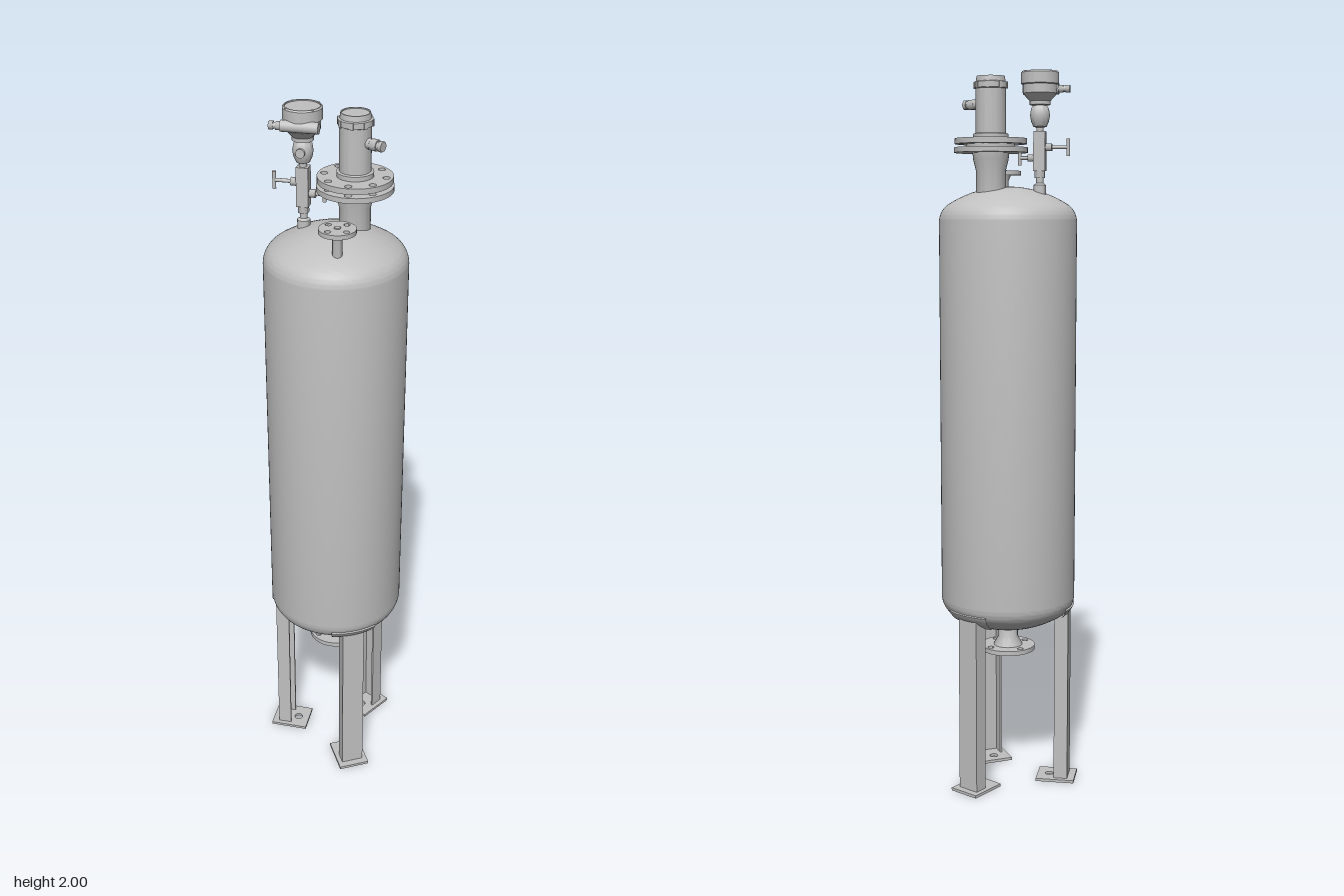
import * as THREE from 'three';
import { toCreasedNormals } from 'three/addons/utils/BufferGeometryUtils.js';

const steel = new THREE.MeshStandardMaterial({ color: 0xc0c0c0 });
steel.name = 'steel grey';
const steelSheet = steel;

function add(parent, name, geometry, x = 0, y = 0, z = 0) {
  const mesh = new THREE.Mesh(geometry, steel);
  mesh.name = name;
  mesh.position.set(x, y, z);
  parent.add(mesh);
  return mesh;
}

function group(parent, name, x = 0, y = 0, z = 0) {
  const g = new THREE.Group();
  g.name = name;
  g.position.set(x, y, z);
  parent.add(g);
  return g;
}

// Turned part from [radius, height] pairs, listed bottom to top
function turned(pairs, sides = 40) {
  const points = pairs.map(([r, y]) => new THREE.Vector2(r, y));
  return toCreasedNormals(new THREE.LatheGeometry(points, sides), 0.6);
}

function box(w, h, d) {
  return new THREE.BoxGeometry(w, h, d);
}

// Horizontal disc with a ring of bolt holes, bottom face at y = 0
function flange(radius, thickness, count, boltCircle, holeRadius, turn = 0) {
  const shape = new THREE.Shape().absarc(0, 0, radius, 0, Math.PI * 2);
  for (let i = 0; i < count; i++) {
    const a = turn + (i / count) * Math.PI * 2;
    shape.holes.push(new THREE.Path().absarc(
      Math.cos(a) * boltCircle, Math.sin(a) * boltCircle, holeRadius, 0, Math.PI * 2, true));
  }
  const g = new THREE.ExtrudeGeometry(shape, { depth: thickness, bevelEnabled: false, curveSegments: 24 });
  g.rotateX(-Math.PI / 2);
  return toCreasedNormals(g, 0.6);
}

// Dished end: knuckle arc running into a shallow crown, [radius, height] from rim to centre
function dishedEnd(offset = 0) {
  const crown = 0.304 + offset, knuckle = 0.0585 + offset, kx = 0.1315, drop = 0.2073;
  const join = Math.atan2(kx, drop), out = [];
  for (let i = 0; i <= 10; i++) {
    const a = Math.PI / 2 - (i / 10) * (Math.PI / 2 - join);
    out.push([kx + knuckle * Math.sin(a), knuckle * Math.cos(a)]);
  }
  for (let i = 1; i <= 10; i++) {
    const a = join * (1 - i / 10);
    out.push([crown * Math.sin(a), crown * Math.cos(a) - drop]);
  }
  return out;
}

const LOW = 0.545, HIGH = 1.6;

function buildLeg(parent, angle) {
  const leg = group(parent, 'leg');
  leg.rotation.y = angle;
  // Channel section, open towards the vessel axis
  add(leg, 'legWeb', box(0.006, 0.5, 0.064), 0.175, 0.257, 0);
  for (const s of [-1, 1]) add(leg, 'legFlange', box(0.036, 0.5, 0.006), 0.157, 0.257, s * 0.029);
  // Foot plate with anchor hole
  const foot = new THREE.Shape([[0.088, -0.045], [0.198, -0.045], [0.198, 0.045], [0.088, 0.045]]
    .map(([x, y]) => new THREE.Vector2(x, y)));
  foot.holes.push(new THREE.Path().absarc(0.122, 0, 0.012, 0, Math.PI * 2, true));
  const plate = new THREE.ExtrudeGeometry(foot, { depth: 0.008, bevelEnabled: false });
  plate.rotateX(-Math.PI / 2);
  add(leg, 'footPlate', plate);
  // Reinforcing pad wrapped over the lower knuckle
  const pad = dishedEnd(0.005).slice(4, 13).map(([r, h]) => new THREE.Vector2(r, LOW - h)).reverse();
  const inner = dishedEnd(0).slice(4, 13).map(([r, h]) => new THREE.Vector2(r, LOW - h));
  add(leg, 'legPad', toCreasedNormals(new THREE.LatheGeometry(
    [inner[8], ...pad, ...inner], 10, Math.PI / 2 - 0.36, 0.72), 0.6));
}

// Stub fitting along local +x: [length, radius, sides] pieces end to end
function fitting(parent, name, pieces) {
  const g = group(parent, name);
  let x = 0;
  for (const [len, r, sides] of pieces) {
    const c = new THREE.CylinderGeometry(r, r, len, sides);
    c.rotateZ(Math.PI / 2);
    add(g, name + 'Piece', c, x + len / 2);
    x += len;
  }
  return g;
}

export function createModel() {
  const model = new THREE.Group();
  model.name = 'pressureVessel';

  // Vessel shell
  const end = dishedEnd();
  const shell = [...end.map(([r, h]) => [r, LOW - h]).reverse(), ...end.map(([r, h]) => [r, HIGH + h])];
  add(model, 'vesselShell', turned(shell, 96));

  for (const a of [Math.PI, Math.PI / 3, -Math.PI / 3]) buildLeg(model, a);

  // Bottom outlet
  const outlet = group(model, 'bottomOutlet');
  add(outlet, 'outletNeck', turned([[0, 0.379], [0.05, 0.379], [0.05, 0.383], [0.042, 0.39],
    [0.04, 0.398], [0.028, 0.42], [0.028, 0.47]]));
  add(outlet, 'outletFlange', flange(0.077, 0.013, 4, 0.06, 0.009, Math.PI / 4), 0, 0.382, 0);

  // Main top nozzle with its flange pair
  const main = group(model, 'mainNozzle', 0.04, 0, -0.042);
  add(main, 'nozzlePipe', turned([[0.041, 1.64], [0.041, 1.74], [0.048, 1.768], [0.05, 1.787]]));
  add(main, 'lowerFlange', flange(0.1, 0.014, 8, 0.081, 0.0095), 0, 1.786, 0);
  add(main, 'gasket', new THREE.CylinderGeometry(0.066, 0.066, 0.012, 40), 0, 1.805, 0);
  add(main, 'upperFlange', flange(0.098, 0.015, 8, 0.081, 0.0095), 0, 1.809, 0);

  // Level gauge housing on the main nozzle
  add(main, 'gaugeHousing', turned([[0.048, 1.822], [0.048, 1.836], [0.041, 1.838], [0.041, 1.955],
    [0.045, 1.957], [0.045, 1.972], [0.04, 1.974], [0.038, 1.988], [0.035, 1.988], [0.035, 1.985], [0, 1.985]]));
  for (let i = 0; i < 8; i++) {
    const a = (i / 8) * Math.PI * 2;
    add(main, 'capLug', box(0.008, 0.018, 0.008), Math.cos(a) * 0.043, 1.964, Math.sin(a) * 0.043).rotation.y = -a;
  }
  const gland = fitting(main, 'gaugeCableGland',
    [[0.012, 0.014, 20], [0.02, 0.015, 6], [0.006, 0.011, 20], [0.01, 0.014, 6]]);
  gland.position.set(0.034, 1.915, 0.014);
  gland.rotation.y = -0.42;

  // Small flanged nozzle at the front
  const small = group(model, 'frontNozzle', 0.03, 0, 0.113);
  add(small, 'frontNozzlePipe', turned([[0.013, 1.63], [0.013, 1.715], [0.019, 1.73]], 24));
  add(small, 'frontNozzleFlange', flange(0.048, 0.012, 4, 0.033, 0.008, 0.98), 0, 1.73, 0);
  add(small, 'frontNozzlePlug', new THREE.CylinderGeometry(0.009, 0.009, 0.004, 6), 0, 1.743, 0);

  // Pressure transmitter standing on a valve
  const meter = group(model, 'pressureTransmitter', -0.092, 0, -0.027);
  add(meter, 'valveStub', turned([[0.017, 1.655], [0.017, 1.7], [0.01, 1.705], [0.01, 1.74]], 24));
  add(meter, 'stubNut', new THREE.CylinderGeometry(0.015, 0.015, 0.022, 6), 0, 1.73, 0);
  add(meter, 'valveBody', box(0.032, 0.105, 0.03), 0, 1.79, 0);
  add(meter, 'meterNeck', turned([[0.01, 1.84], [0.01, 1.852], [0.018, 1.855], [0.024, 1.868],
    [0.027, 1.885], [0.024, 1.902], [0.019, 1.91], [0.028, 1.912], [0.028, 1.922], [0.04, 1.935], [0.046, 1.942]], 32));
  add(meter, 'meterHead', turned([[0.046, 1.942], [0.046, 1.965], [0.051, 1.967], [0.051, 1.996],
    [0.048, 2.0], [0.045, 2.0], [0.045, 1.997], [0, 1.997]], 48));
  const sidePlug = new THREE.CylinderGeometry(0.012, 0.012, 0.012, 16);
  sidePlug.rotateX(Math.PI / 2);
  add(meter, 'neckPlug', sidePlug, 0, 1.885, 0.026);
  for (let i = 0; i < 4; i++) {
    const a = Math.PI / 4 + (i * Math.PI) / 2;
    add(meter, 'lidRib', box(0.006, 0.003, 0.005), Math.cos(a) * 0.047, 1.9985, Math.sin(a) * 0.047).rotation.y = -a;
  }
  const conduit = fitting(meter, 'meterCableGland',
    [[0.012, 0.011, 6], [0.006, 0.008, 16], [0.012, 0.011, 6], [0.098, 0.0145, 24]]);
  conduit.position.set(-0.076, 1.957, 0.041);

  // Valve handle and bleed screw, each a stem with a cross bar
  for (const [side, y, len, bar] of [[-1, 1.8, 0.062, 0.046], [1, 1.772, 0.04, 0.04]]) {
    const stem = fitting(meter, side < 0 ? 'valveHandle' : 'bleedScrew',
      [[0.018, 0.011, 6], [len - 0.018, 0.005, 12]]);
    stem.position.set(side * 0.015, y, 0);
    stem.rotation.y = side < 0 ? Math.PI : 0;
    add(stem, 'crossBar', new THREE.CylinderGeometry(0.005, 0.005, bar, 12), len, 0, 0);
  }

  return model;
}
